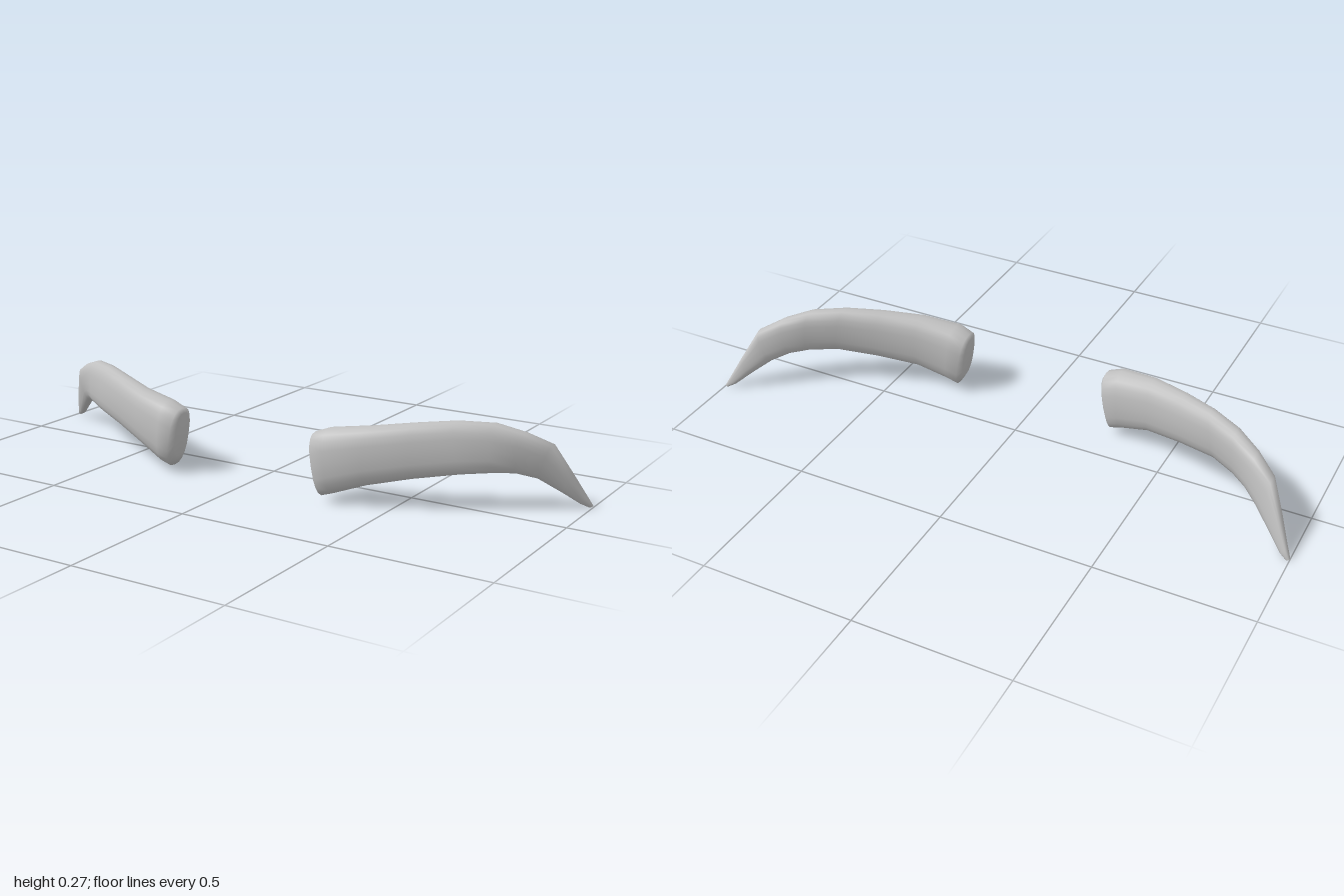
import * as THREE from 'three';

// Cross-sections from inner end to tip: top x, top y, bottom x, bottom y, front z, back z
const SECTIONS = [
  [0.243, 0.195, 0.265, 0.050, 0.190, 0.118],
  [0.250, 0.210, 0.285, 0.015, 0.211, 0.099],
  [0.300, 0.230, 0.320, 0.027, 0.215, 0.094],
  [0.420, 0.247, 0.420, 0.063, 0.182, 0.077],
  [0.540, 0.262, 0.550, 0.092, 0.125, 0.028],
  [0.650, 0.272, 0.680, 0.113, 0.065, -0.022],
  [0.750, 0.267, 0.760, 0.117, 0.010, -0.075],
  [0.830, 0.240, 0.810, 0.113, -0.038, -0.113],
  [0.900, 0.203, 0.860, 0.093, -0.090, -0.153],
  [0.950, 0.105, 0.920, 0.048, -0.142, -0.190],
  [0.985, 0.033, 0.965, 0.011, -0.185, -0.214],
  [1.000, 0.004, 0.988, 0.000, -0.204, -0.220],
];
const SIDES = 20;

// Rounded-box curve: keeps the sign, pushes the ellipse outward
const soften = (v) => Math.sign(v) * Math.pow(Math.abs(v), 0.78);

function browGeometry(side) {
  const positions = [];
  const index = [];
  const tri = (a, b, c) => (side > 0 ? index.push(a, b, c) : index.push(a, c, b));

  for (const [xt, yt, xb, yb, zf, zb] of SECTIONS) {
    for (let j = 0; j < SIDES; j++) {
      const a = (j / SIDES) * Math.PI * 2;
      const up = (soften(Math.sin(a)) + 1) / 2;
      const front = (soften(Math.cos(a)) + 1) / 2;
      positions.push(
        side * THREE.MathUtils.lerp(xb, xt, up),
        THREE.MathUtils.lerp(yb, yt, up),
        THREE.MathUtils.lerp(zb, zf, front),
      );
    }
  }
  // Skin between neighbouring sections
  for (let i = 0; i < SECTIONS.length - 1; i++) {
    for (let j = 0; j < SIDES; j++) {
      const k = (j + 1) % SIDES;
      const a = i * SIDES + j, b = a + SIDES;
      const c = i * SIDES + k, d = c + SIDES;
      tri(a, b, c);
      tri(b, d, c);
    }
  }
  // Caps at the inner end and the tip
  [0, SECTIONS.length - 1].forEach((i) => {
    const [xt, yt, xb, yb, zf, zb] = SECTIONS[i];
    const centre = positions.length / 3;
    positions.push((side * (xt + xb)) / 2, (yt + yb) / 2, (zf + zb) / 2);
    for (let j = 0; j < SIDES; j++) {
      const a = i * SIDES + j, b = i * SIDES + ((j + 1) % SIDES);
      if (i === 0) tri(centre, a, b);
      else tri(centre, b, a);
    }
  });

  const geometry = new THREE.BufferGeometry();
  geometry.setAttribute('position', new THREE.Float32BufferAttribute(positions, 3));
  geometry.setIndex(index);
  geometry.computeVertexNormals();
  return geometry;
}

export function createModel() {
  const group = new THREE.Group();
  group.name = 'eyebrows';
  const grey = new THREE.MeshStandardMaterial({ color: 0xc0c0c0 });
  grey.name = 'lightGrey';

  // Mirrored pair
  for (const side of [1, -1]) {
    const brow = new THREE.Mesh(browGeometry(side), grey);
    brow.name = side > 0 ? 'leftEyebrow' : 'rightEyebrow';
    group.add(brow);
  }
  return group;
}
